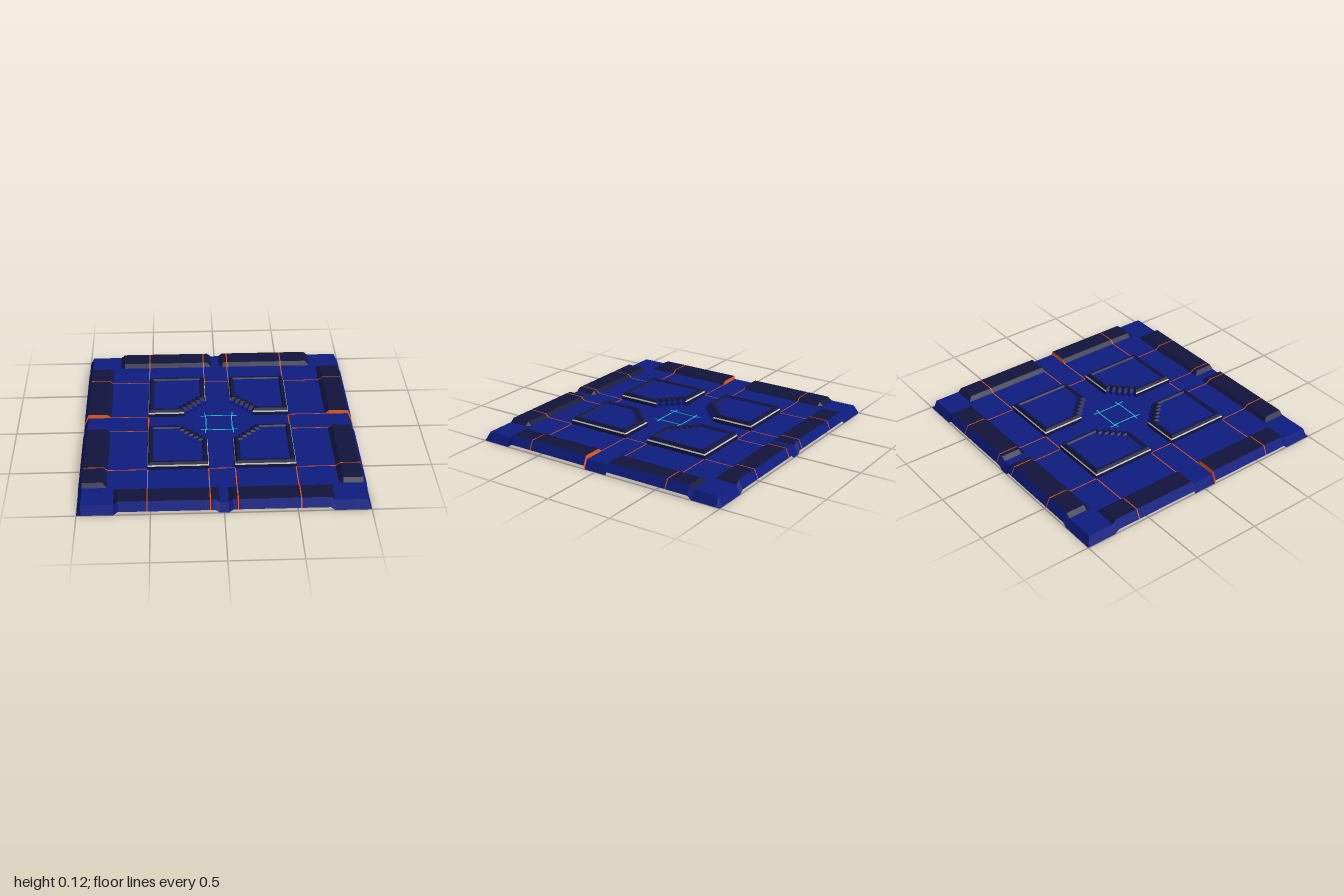
import * as THREE from 'three';

const X0 = 0.09, X1 = 0.525, Z0 = 0.09, Z1 = 0.58; // raised pad rectangle (one quarter)
const STEPS = 5, S = 0.032;                        // staircase cut on the inner pad corner
const LINE = 0.008, FLOOR = 0.065, RISE = 0.025;

const colors = { blue: 0x0e1c80, dark: 0x11143c, orange: 0xdc521c, light: 0xc4c0b8, cyan: 0x1cc8d2 };
const mats = {};
for (const k in colors) {
  mats[k] = new THREE.MeshStandardMaterial({ color: colors[k], flatShading: true, side: THREE.DoubleSide });
}

// Collects triangles per colour and turns them into named meshes
class Faces {
  constructor() { this.lists = {}; }
  tri(color, a, b, c, flip = false) {
    (this.lists[color] ??= []).push(...a, ...(flip ? c : b), ...(flip ? b : c));
  }
  quad(color, a, b, c, d, flip = false) {
    this.tri(color, a, b, c, flip);
    this.tri(color, a, c, d, flip);
  }
  addTo(group, names) {
    for (const k in this.lists) {
      const g = new THREE.BufferGeometry();
      g.setAttribute('position', new THREE.Float32BufferAttribute(this.lists[k], 3));
      g.computeVertexNormals();
      const mesh = new THREE.Mesh(g, mats[k]);
      mesh.name = names[k];
      group.add(mesh);
    }
  }
}

const ramp = (v, a, b) => THREE.MathUtils.clamp((v - a) / (b - a), 0, 1);

// 0..1 height of the bevelled blocks along the four edges
function blockLevel(x, z) {
  const ax = Math.abs(x), az = Math.abs(z);
  const end = Math.min(ramp(ax, 0.03, 0.06), ramp(ax, 0.75, 0.72), ramp(az, 0.8, 0.83));
  const side = Math.min(ramp(az, Z0, Z0 + LINE), ramp(az, 0.78, 0.75), ramp(ax, 0.8, 0.83));
  return Math.max(end, side);
}

function point(x, z) {
  const edge = Math.max(Math.abs(x), Math.abs(z)) > 0.999; // outer skirt drops down
  return [x, FLOOR + RISE * blockLevel(x, z) - (edge ? FLOOR : 0), z];
}

function inPad(ax, az) {
  if (ax < X0 || ax > X1 || az < Z0 || az > Z1) return false;
  return Math.floor((ax - X0) / S) + Math.floor((az - Z0) / S) >= STEPS;
}

function cellColor(x, z) {
  const ax = Math.abs(x), az = Math.abs(z);
  const on = (v, a) => v > a && v < a + LINE;
  if (on(ax, X1 - LINE) || on(az, Z1 - LINE)) return 'orange';
  if (on(ax, X0) && az > Z1 - LINE) return 'orange';
  if (on(az, Z0) && ax > X1 - LINE) return 'orange';
  return blockLevel(x, z) > 0 && Math.max(ax, az) < 0.97 ? 'dark' : 'blue';
}

// Thin relief sheet on an uneven grid whose cuts follow every edge
function addSheet(group) {
  const stairs = Array.from({ length: STEPS }, (_, i) => X0 + (i + 1) * S);
  const shared = [0.03, 0.06, X0, X0 + LINE, 0.72, 0.75, 0.78, 0.8, 0.83, 0.97, 1, ...stairs];
  const mirrored = (list) => [...list.map((v) => -v), ...list].sort((a, b) => a - b);
  const xs = mirrored([...shared, X1 - LINE, X1]);
  const zs = mirrored([...shared, Z1 - LINE, Z1]);
  const faces = new Faces();
  for (let i = 0; i < xs.length - 1; i++) {
    for (let j = 0; j < zs.length - 1; j++) {
      const mx = (xs[i] + xs[i + 1]) / 2, mz = (zs[j] + zs[j + 1]) / 2;
      if (inPad(Math.abs(mx), Math.abs(mz))) continue;
      faces.quad(cellColor(mx, mz), point(xs[i], zs[j]), point(xs[i], zs[j + 1]),
        point(xs[i + 1], zs[j + 1]), point(xs[i + 1], zs[j]));
    }
  }
  faces.addTo(group, { blue: 'floorPlate', dark: 'edgeBlocks', orange: 'seamLines' });
}

// Pad outline moved inward by d, staircase on the inner corner
function padOutline(d) {
  const pts = [[X1 - d, Z0 + d], [X1 - d, Z1 - d], [X0 + d, Z1 - d]];
  for (let i = 0; i < STEPS; i++) {
    const z = Z0 + (STEPS - i) * S + d;
    pts.push([X0 + i * S + d, z], [X0 + (i + 1) * S + d, z]);
  }
  pts.push([X0 + STEPS * S + d, Z0 + d]);
  return pts;
}

// Raised pad: dark wall, light trim, bevelled rim, slightly sunken top
function addPad(group, sx, sz) {
  const profile = [ // inset, height, colour of the band above
    [0, FLOOR, 'dark'], [0.002, 0.09, 'light'], [0.007, 0.1, 'dark'],
    [0.018, 0.118, 'dark'], [0.034, 0.118, 'dark'], [0.044, 0.108, 'blue'],
  ];
  const flip = sx * sz < 0;
  const at = ([x, z], y) => [sx * x, y, sz * z];
  const faces = new Faces();
  for (let k = 0; k < profile.length - 1; k++) {
    const [d0, y0, color] = profile[k], [d1, y1] = profile[k + 1];
    const lo = padOutline(d0), hi = padOutline(d1), n = lo.length;
    for (let i = 0; i < n; i++) {
      const j = (i + 1) % n, stair = i >= 3 && i < n - 1;
      const c = stair ? (k < 2 ? 'blue' : 'dark') : color;
      faces.quad(c, at(lo[i], y0), at(hi[i], y1), at(hi[j], y1), at(lo[j], y0), flip);
    }
  }
  const [dTop, yTop] = profile[profile.length - 1];
  const top = padOutline(dTop);
  const tris = THREE.ShapeUtils.triangulateShape(top.map((p) => new THREE.Vector2(...p)), []);
  for (const [a, b, c] of tris) faces.tri('blue', at(top[c], yTop), at(top[b], yTop), at(top[a], yTop), flip);
  const pad = new THREE.Group();
  pad.name = 'raisedPad';
  faces.addTo(pad, { blue: 'padTop', dark: 'padRim', light: 'padTrim' });
  group.add(pad);
}

// Glowing square with corner ticks in the middle
function addCentreMark(group) {
  const mark = new THREE.Group();
  mark.name = 'centreMark';
  const bar = (x, z, w, d, name) => {
    const m = new THREE.Mesh(new THREE.BoxGeometry(w, 0.004, d), mats.cyan);
    m.position.set(x, FLOOR, z);
    m.name = name;
    mark.add(m);
  };
  for (const s of [-1, 1]) {
    bar(s * 0.096, 0, 0.007, 0.19, 'squareSide');
    bar(0, s * 0.094, 0.19, 0.007, 'squareSide');
    for (const t of [-1, 1]) {
      bar(s * 0.102, t * 0.112, 0.007, 0.045, 'cornerTick');
      bar(s * 0.114, t * 0.088, 0.04, 0.007, 'cornerTick');
    }
  }
  group.add(mark);
}

export function createModel() {
  const group = new THREE.Group();
  group.name = 'floorTile';
  addSheet(group);
  for (const sx of [-1, 1]) for (const sz of [-1, 1]) addPad(group, sx, sz);
  addCentreMark(group);
  return group;
}
